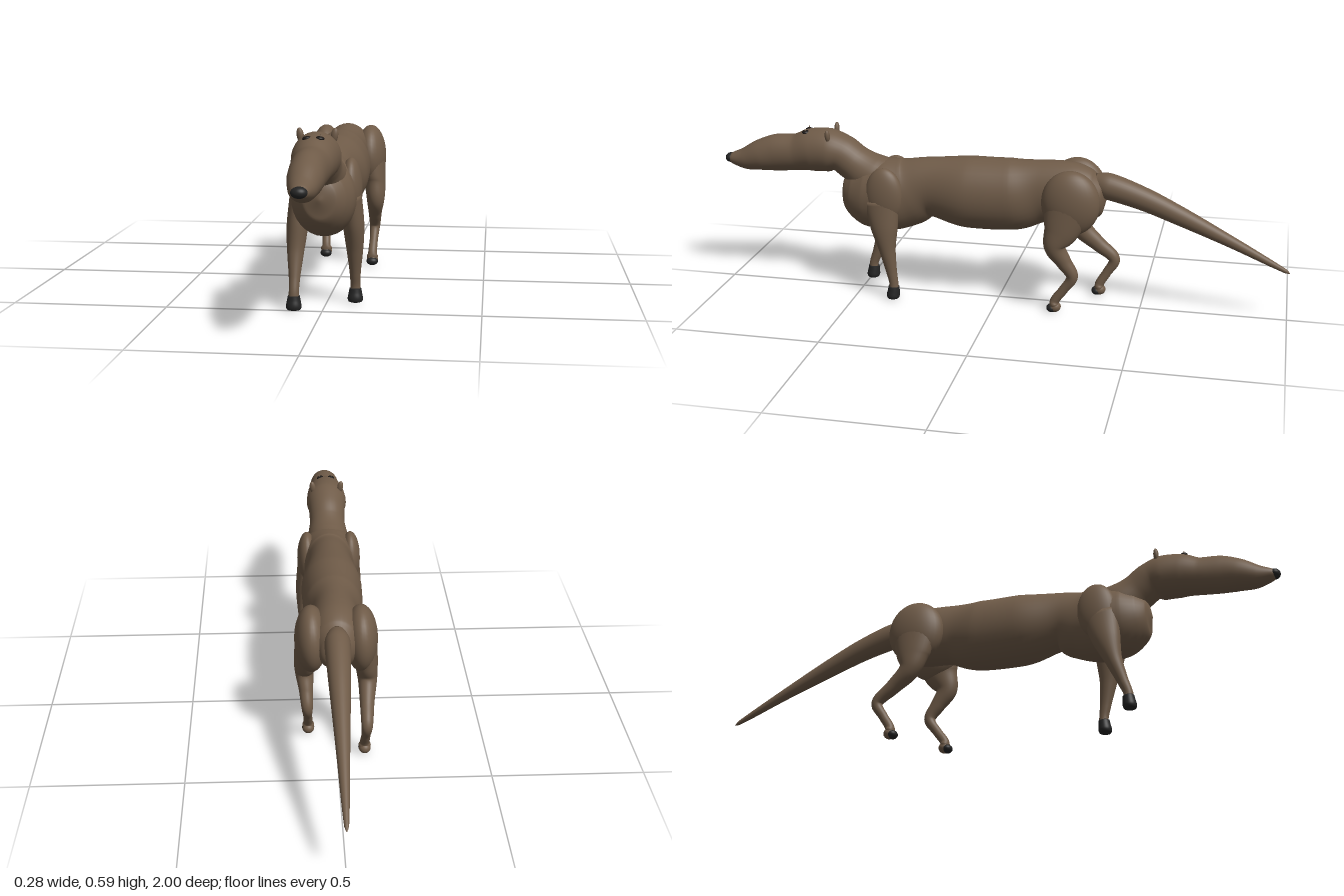
import * as THREE from 'three';

const mat = (name, color) => Object.assign(new THREE.MeshStandardMaterial({ color }), { name });

// Smooth tube of elliptical rings; each station is [x, y, z, sideRadius, heightRadius]
function loft(stations, steps = 8, sides = 32) {
  const path = new THREE.CatmullRomCurve3(stations.map(s => new THREE.Vector3(s[0], s[1], s[2])));
  const size = new THREE.CatmullRomCurve3(stations.map(s => new THREE.Vector3(s[3], s[4], 0)));
  const rings = (stations.length - 1) * steps;
  const pos = [], idx = [];
  const X = new THREE.Vector3(1, 0, 0);
  for (let i = 0; i <= rings; i++) {
    const t = i / rings, c = path.getPoint(t), r = size.getPoint(t);
    const up = path.getTangent(t).cross(X).normalize();
    for (let j = 0; j < sides; j++) {
      const a = (j / sides) * Math.PI * 2;
      const p = c.clone().addScaledVector(X, Math.cos(a) * Math.max(r.x, 0.0005))
        .addScaledVector(up, Math.sin(a) * Math.max(r.y, 0.0005));
      pos.push(p.x, p.y, p.z);
    }
  }
  for (let i = 0; i < rings; i++) {
    for (let j = 0; j < sides; j++) {
      const k = (j + 1) % sides;
      const a = i * sides + j, b = i * sides + k, c = a + sides, d = b + sides;
      idx.push(a, b, c, b, d, c);
    }
  }
  // close both ends
  [0, rings].forEach((ring, end) => {
    const c = path.getPoint(end), n = pos.length / 3;
    pos.push(c.x, c.y, c.z);
    for (let j = 0; j < sides; j++) {
      const a = ring * sides + j, b = ring * sides + (j + 1) % sides;
      if (end) idx.push(n, a, b); else idx.push(n, b, a);
    }
  });
  const g = new THREE.BufferGeometry();
  g.setAttribute('position', new THREE.Float32BufferAttribute(pos, 3));
  g.setIndex(idx);
  g.computeVertexNormals();
  return g;
}

const ball = (rx, ry, rz) => new THREE.SphereGeometry(1, 32, 20).scale(rx, ry, rz);

export function createModel() {
  const fur = mat('brown fur', 0x6f5b48);
  const dark = mat('dark hoof and nose', 0x242424);
  const eyeMat = mat('dark eye', 0x1c1816);
  const model = new THREE.Group();
  model.name = 'animal';

  const add = (name, geometry, material, x = 0, y = 0, z = 0, parent = model) => {
    const m = new THREE.Mesh(geometry, material);
    m.name = name;
    m.position.set(x, y, z);
    parent.add(m);
    return m;
  };

  // torso, rump to chest
  add('torso', loft([
    [0, 0.40, -0.375, 0.005, 0.005], [0, 0.40, -0.36, 0.05, 0.06],
    [0, 0.40, -0.32, 0.075, 0.09], [0, 0.408, -0.25, 0.085, 0.107],
    [0, 0.405, -0.15, 0.08, 0.11], [0, 0.388, -0.05, 0.1, 0.127],
    [0, 0.385, 0.1, 0.106, 0.128], [0, 0.393, 0.25, 0.083, 0.106],
    [0, 0.372, 0.32, 0.09, 0.122], [0, 0.357, 0.4, 0.107, 0.13],
    [0, 0.357, 0.47, 0.101, 0.12], [0, 0.362, 0.52, 0.08, 0.092],
    [0, 0.365, 0.55, 0.052, 0.06], [0, 0.365, 0.563, 0.005, 0.005],
  ]), fur);

  // neck running into the long snout
  add('neckAndHead', loft([
    [0, 0.40, 0.36, 0.07, 0.08], [0, 0.42, 0.45, 0.075, 0.08],
    [0, 0.465, 0.52, 0.065, 0.066], [0, 0.497, 0.565, 0.068, 0.066],
    [0, 0.505, 0.61, 0.074, 0.077], [0, 0.502, 0.67, 0.07, 0.076],
    [0, 0.49, 0.73, 0.06, 0.065], [0, 0.484, 0.8, 0.056, 0.066],
    [0, 0.472, 0.86, 0.053, 0.057], [0, 0.456, 0.92, 0.042, 0.041],
    [0, 0.454, 0.97, 0.027, 0.022], [0, 0.455, 0.985, 0.018, 0.014],
  ]), fur);
  add('nose', ball(0.024, 0.017, 0.02), dark, 0, 0.455, 0.98);

  // tail
  add('tail', loft([
    [0, 0.445, -0.33, 0.03, 0.035], [0, 0.437, -0.38, 0.042, 0.046],
    [0, 0.40, -0.5, 0.037, 0.04], [0, 0.35, -0.62, 0.03, 0.033],
    [0, 0.268, -0.8, 0.019, 0.02], [0, 0.2, -0.94, 0.011, 0.011],
    [0, 0.178, -0.985, 0.007, 0.007], [0, 0.17, -1, 0.001, 0.001],
  ]), fur);

  // joints: front foot z; rear knee, hock and foot z (the stride differs per side)
  const stride = [
    { s: 1, side: 'left', foot: 0.36, knee: -0.215, hock: -0.275, rear: -0.215 },
    { s: -1, side: 'right', foot: 0.488, knee: -0.275, hock: -0.395, rear: -0.345 },
  ];
  for (const { s, side, foot, knee, hock, rear } of stride) {
    // face details
    add(side + 'Ear', ball(0.011, 0.023, 0.009), fur, s * 0.052, 0.569, 0.597).rotation.z = -s * 0.15;
    add(side + 'Eye', ball(0.013, 0.007, 0.013), eyeMat, s * 0.02, 0.57, 0.687).rotation.z = -s * 0.15;
    add(side + 'Brow', new THREE.ConeGeometry(0.005, 0.016, 12), fur, s * 0.023, 0.577, 0.688);

    // shoulder and front leg
    add(side + 'Shoulder', ball(0.036, 0.1, 0.068), fur, s * 0.08, 0.375, 0.39);
    const mid = t => 0.4 + (foot - 0.4) * t;
    add(side + 'FrontLeg', loft([
      [s * 0.08, 0.36, 0.4, 0.034, 0.065], [s * 0.088, 0.26, mid(0.25), 0.034, 0.048],
      [s * 0.091, 0.18, mid(0.5), 0.027, 0.029], [s * 0.091, 0.1, mid(0.82), 0.018, 0.019],
      [s * 0.091, 0.055, foot, 0.016, 0.016], [s * 0.091, 0.02, foot, 0.018, 0.018],
    ]), fur);
    add(side + 'FrontHoof', loft([
      [s * 0.091, 0.046, foot, 0.019, 0.019], [s * 0.091, 0.03, foot + 0.001, 0.022, 0.021],
      [s * 0.091, 0.013, foot + 0.003, 0.025, 0.023], [s * 0.091, 0.003, foot + 0.003, 0.022, 0.02],
      [s * 0.091, 0, foot + 0.003, 0.012, 0.012],
    ], 5), dark);

    // haunch and rear leg
    add(side + 'Haunch', ball(0.055, 0.113, 0.1), fur, s * 0.082, 0.395, -0.262);
    add(side + 'RearLeg', loft([
      [s * 0.085, 0.4, -0.262, 0.05, 0.09], [s * 0.099, 0.305, (knee - 0.255) / 2, 0.039, 0.062],
      [s * 0.104, 0.245, knee, 0.032, 0.038], [s * 0.1, 0.19, (knee + hock) / 2, 0.024, 0.027],
      [s * 0.097, 0.137, hock, 0.019, 0.02], [s * 0.095, 0.085, (hock + rear) / 2, 0.015, 0.016],
      [s * 0.093, 0.04, rear, 0.016, 0.016], [s * 0.093, 0.015, rear, 0.016, 0.016],
    ]), fur);
    add(side + 'RearFoot', ball(0.02, 0.019, 0.021), fur, s * 0.093, 0.02, rear - 0.001);
    add(side + 'RearToe', ball(0.021, 0.015, 0.018), dark, s * 0.093, 0.015, rear + 0.01);
  }
  return model;
}
